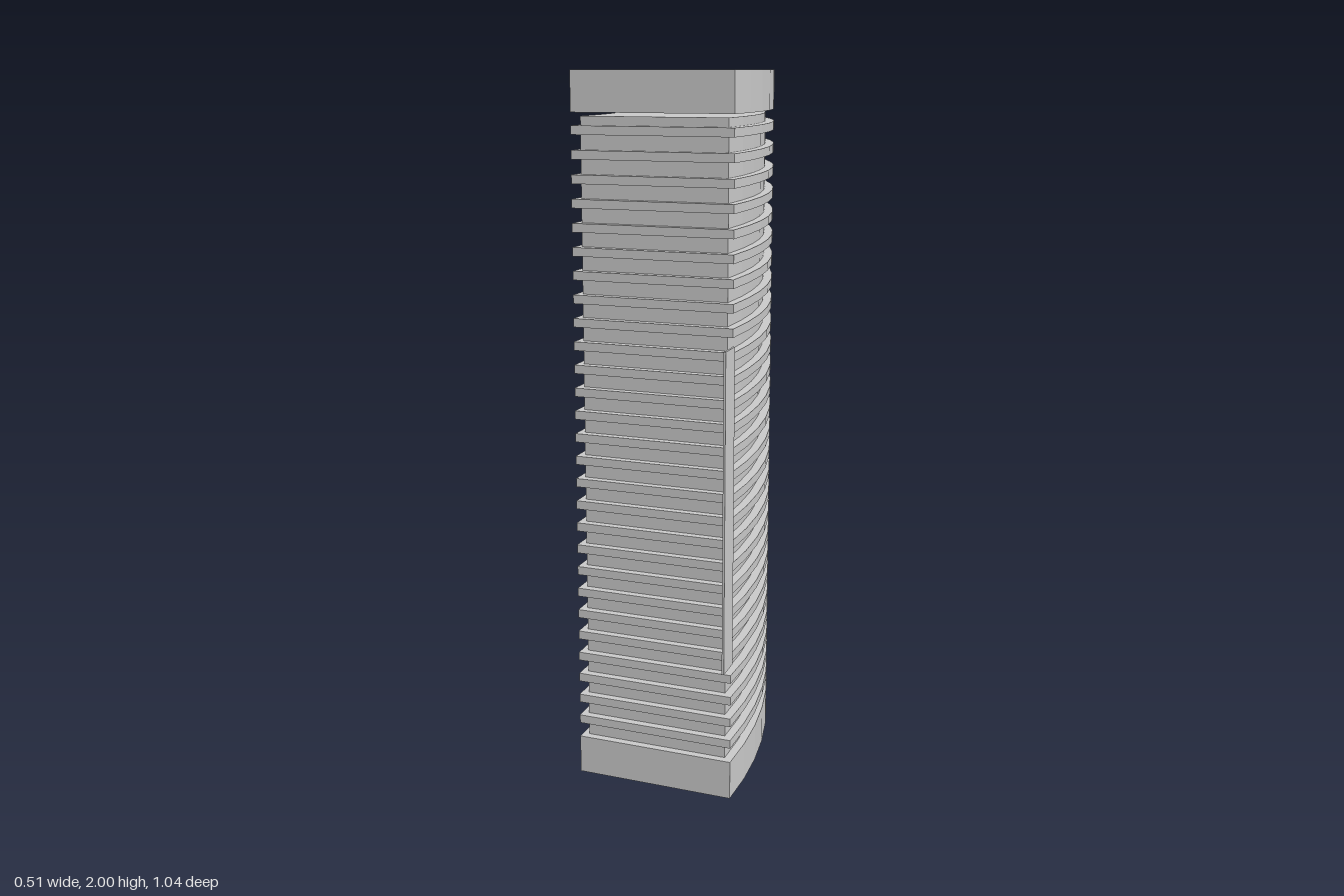
import * as THREE from 'three';

const material = new THREE.MeshStandardMaterial({ color: 0xcccccc, side: THREE.DoubleSide });

// Points on a shallow arc bulging to +x, from -halfChord to +halfChord
function arc(cornerX, halfChord, radius, segments) {
  const a = Math.asin(halfChord / radius);
  return Array.from({ length: segments + 1 }, (_, i) => {
    const t = -a + (2 * a * i) / segments;
    return new THREE.Vector2(cornerX + radius * (Math.cos(t) - Math.cos(a)), radius * Math.sin(t));
  });
}

// Curved wedge floor plan, shrunk by the given inset on all sides
function plan(inset) {
  const outer = arc(0.195 - 0.75 * inset, 0.45 - 1.2 * inset, 1.8 - inset, 7);
  const inner = arc(-0.2545 + 0.95 * inset, 0.34 - 0.8 * inset, 1.37 + inset, 5);
  return [...outer, ...inner.reverse()];
}

// Slab from y0 to y1, optionally hollowed to a wall reaching in to holeInset
function slab(name, y0, y1, inset, holeInset) {
  const shape = new THREE.Shape(plan(inset));
  if (holeInset !== undefined) shape.holes.push(new THREE.Path(plan(holeInset)));
  const geometry = new THREE.ExtrudeGeometry(shape, { depth: y1 - y0, bevelEnabled: false });
  geometry.rotateX(-Math.PI / 2);
  geometry.translate(0, y0, 0);
  const mesh = new THREE.Mesh(geometry, material);
  mesh.name = name;
  return mesh;
}

// Thin upright sign on an outer corner; side is +1 at the front, -1 at the back
function bladeSign(name, y0, y1, side) {
  const from = new THREE.Vector2(0.196, 0.44), to = new THREE.Vector2(0.181, 0.52);
  const mesh = new THREE.Mesh(new THREE.BoxGeometry(0.006, y1 - y0, from.distanceTo(to)), material);
  mesh.position.set((from.x + to.x) / 2, (y0 + y1) / 2, (side * (from.y + to.y)) / 2);
  mesh.rotation.y = side * Math.atan2(to.x - from.x, to.y - from.y);
  mesh.name = name;
  return mesh;
}

export function createModel() {
  const group = new THREE.Group();
  group.name = 'curvedTower';
  const coreInset = 0.024, band = 0.11;

  // Recessed core; its ends close the parapet and the base
  group.add(slab('core', band, 1.88, coreInset));

  // Floor fins
  const fins = new THREE.Group();
  fins.name = 'floorFins';
  for (let i = 0; i < 27; i++) {
    const y = 0.164 + i * 0.0646;
    fins.add(slab('floorFin', y - 0.012, y + 0.012, 0));
  }
  group.add(fins);

  // Hollow end bands with a narrow ledge meeting the core
  group.add(slab('parapetWall', 2 - band, 2, 0, 0.003));
  group.add(slab('parapetLedge', 2 - band, 2 - band + 0.004, 0.002, coreInset));
  group.add(slab('baseWall', 0, band, 0, 0.003));
  group.add(slab('baseLedge', band - 0.004, band, 0.002, coreInset));

  // Blade signs
  group.add(bladeSign('frontSign', 0.4, 1.29, 1));
  for (const [y0, y1] of [[0.2, 0.578], [0.925, 1.303], [1.345, 1.723]]) {
    group.add(bladeSign('backSign', y0, y1, -1));
  }
  return group;
}
